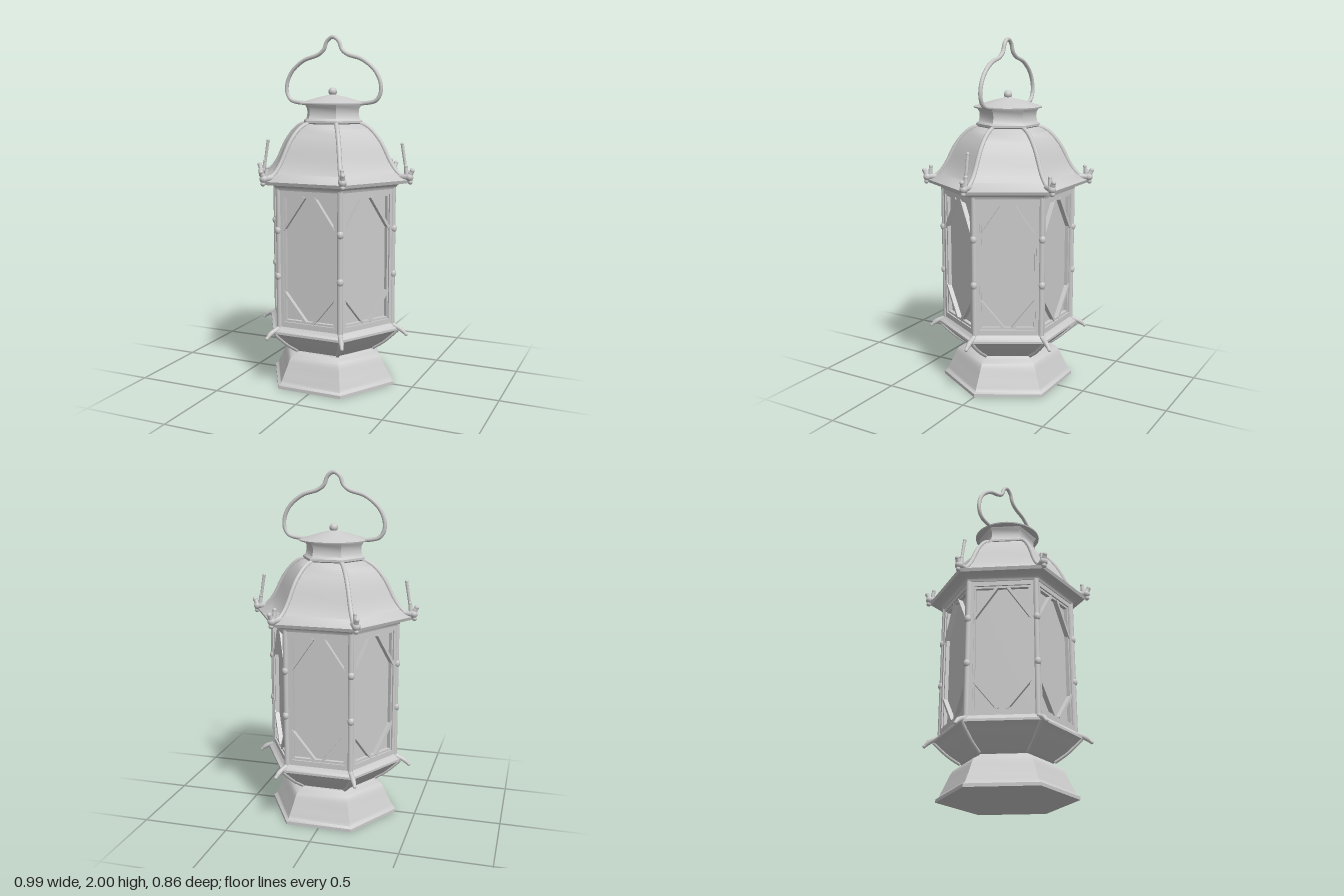
import * as THREE from 'three';
import { toCreasedNormals } from 'three/addons/utils/BufferGeometryUtils.js';

export function createModel() {
  const model = new THREE.Group();
  model.name = 'lantern';
  const metal = new THREE.MeshStandardMaterial({ color: 0xcccccc });
  metal.name = 'paleMetal';

  const add = (parent, name, geometry, x = 0, y = 0, z = 0) => {
    const mesh = new THREE.Mesh(geometry, metal);
    mesh.name = name;
    mesh.position.set(x, y, z);
    parent.add(mesh);
    return mesh;
  };
  const vec2 = (pts) => pts.map(([x, y]) => new THREE.Vector2(x, y));
  // six-sided turned form with a corner on +x, sharp at its corners only
  const hexTurn = (pts) => toCreasedNormals(new THREE.LatheGeometry(vec2(pts), 6, Math.PI / 2), 0.75);
  const tube = (pts, radius, segments = 24) => new THREE.TubeGeometry(
    new THREE.CatmullRomCurve3(pts.map(([x, y, z = 0]) => new THREE.Vector3(x, y, z))), segments, radius, 8);
  // tapered round prong between two points of the xy plane, with a rounded tip
  const prong = (parent, name, [x0, y0], [x1, y1], r0, r1) => {
    const rod = add(parent, name, new THREE.CylinderGeometry(r1, r0, Math.hypot(x1 - x0, y1 - y0), 10),
      (x0 + x1) / 2, (y0 + y1) / 2);
    rod.rotation.z = Math.atan2(y1 - y0, x1 - x0) - Math.PI / 2;
    add(parent, name + 'Tip', new THREE.SphereGeometry(r1 * 1.15, 10, 8), x1, y1);
  };

  // stepped bell-shaped foot
  add(model, 'foot', hexTurn([[0, 0], [0.385, 0], [0.385, 0.018], [0.367, 0.028], [0.36, 0.045], [0.342, 0.08],
    [0.325, 0.115], [0.312, 0.145], [0.298, 0.168], [0.27, 0.182], [0.25, 0.19], [0.242, 0.205]]));

  // flaring skirt below the body
  add(model, 'skirt', hexTurn([[0.23, 0.195], [0.25, 0.2], [0.268, 0.215], [0.32, 0.25], [0.37, 0.295],
    [0.395, 0.32], [0.412, 0.33], [0.412, 0.343], [0.395, 0.352], [0.38, 0.37], [0.34, 0.375]]));

  // inner body carrying the panes
  add(model, 'panes', hexTurn([[0.345, 0.35], [0.345, 1.18]]));

  // curved roof with its eaves
  const roofLine = [[0.462, 1.196], [0.43, 1.21], [0.395, 1.235], [0.366, 1.27], [0.342, 1.31], [0.32, 1.355],
    [0.295, 1.4], [0.265, 1.44], [0.23, 1.475], [0.195, 1.496], [0.17, 1.503]];
  add(model, 'roof', hexTurn([[0.34, 1.14], [0.385, 1.145], [0.39, 1.16], [0.405, 1.172], [0.455, 1.178], ...roofLine]));

  // neck under the cap
  add(model, 'neck', hexTurn([[0.165, 1.495], [0.182, 1.508], [0.182, 1.52], [0.166, 1.532], [0.16, 1.56],
    [0.162, 1.585], [0.172, 1.6], [0.178, 1.615]]));

  // round cap with knob
  add(model, 'cap', toCreasedNormals(new THREE.LatheGeometry(vec2([[0, 1.607], [0.192, 1.61], [0.194, 1.617],
    [0.15, 1.63], [0.09, 1.648], [0.03, 1.662], [0.015, 1.668], [0, 1.668]]), 32), 0.6));
  add(model, 'knob', new THREE.SphereGeometry(0.024, 16, 12), 0, 1.682, 0);

  // carrying handle with a pointed top
  const half = [[0.15, 1.617], [0.215, 1.62], [0.265, 1.635], [0.29, 1.675], [0.288, 1.735], [0.255, 1.8],
    [0.18, 1.86], [0.09, 1.89], [0.055, 1.918], [0.035, 1.965]];
  add(model, 'handle', tube([...half.map(([x, y]) => [-x, y]), [0, 1.987], ...half.slice().reverse()], 0.0115, 120));

  // frame with a rectangular opening
  const frame = (w, y0, y1, ow, oy0, oy1, depth) => {
    const shape = new THREE.Shape(vec2([[-w, y0], [w, y0], [w, y1], [-w, y1]]));
    shape.holes.push(new THREE.Path(vec2([[-ow, oy0], [-ow, oy1], [ow, oy1], [ow, oy0]])));
    return new THREE.ExtrudeGeometry(shape, { depth, bevelEnabled: false });
  };
  const outerFrame = frame(0.19, 0.35, 1.16, 0.155, 0.4, 1.118, 0.012);
  const innerFrame = frame(0.18, 0.36, 1.15, 0.145, 0.412, 1.106, 0.022);

  for (let k = 0; k < 6; k++) {
    // one wall: frames and four diagonal bars
    const wall = new THREE.Group();
    wall.name = 'wall';
    wall.rotation.y = k * Math.PI / 3;
    add(wall, 'outerFrame', outerFrame, 0, 0, 0.317);
    add(wall, 'innerFrame', innerFrame, 0, 0, 0.298);
    for (const side of [-1, 1]) {
      for (const [x0, y0, x1, y1] of [[0.028, 1.112, 0.16, 0.92], [0.022, 0.405, 0.16, 0.575]]) {
        const bar = add(wall, 'diagonalBar', new THREE.BoxGeometry(0.016, Math.hypot(x1 - x0, y1 - y0), 0.026),
          side * (x0 + x1) / 2, (y0 + y1) / 2, 0.313);
        bar.rotation.z = -Math.atan2(side * (x1 - x0), y1 - y0);
      }
    }
    model.add(wall);

    // one corner: post, beads, skirt spike, roof ridge and eave ornament
    const corner = new THREE.Group();
    corner.name = 'corner';
    corner.rotation.y = k * Math.PI / 3;
    add(corner, 'post', new THREE.CylinderGeometry(0.016, 0.016, 0.81, 12), 0.37, 0.76, 0);
    for (const y of [0.66, 0.92]) {
      add(corner, 'bead', new THREE.SphereGeometry(0.019, 12, 10), 0.375, y, 0).scale.y = 1.3;
    }
    add(corner, 'skirtRib', tube([[0.255, 0.205], [0.32, 0.25], [0.37, 0.295], [0.405, 0.33]], 0.011, 12));
    add(corner, 'skirtSpikeRoot', tube([[0.372, 0.362], [0.395, 0.35], [0.42, 0.34], [0.44, 0.328]], 0.014, 12));
    prong(corner, 'skirtSpike', [0.43, 0.336], [0.458, 0.311], 0.014, 0.009);
    add(corner, 'roofRidge', tube(roofLine, 0.013, 30));
    prong(corner, 'eaveArm', [0.41, 1.215], [0.465, 1.212], 0.018, 0.02);
    prong(corner, 'eaveLeafUp', [0.462, 1.212], [0.481, 1.25], 0.017, 0.012);
    prong(corner, 'eaveLeafDown', [0.464, 1.215], [0.47, 1.186], 0.017, 0.012);
    prong(corner, 'eaveLeafBack', [0.45, 1.21], [0.443, 1.272], 0.014, 0.01);
    // tall pins stand only on the two corners under the handle
    if (k % 3 === 0) prong(corner, 'pin', [0.443, 1.26], [0.421, 1.394], 0.008, 0.009);
    model.add(corner);
  }
  return model;
}
